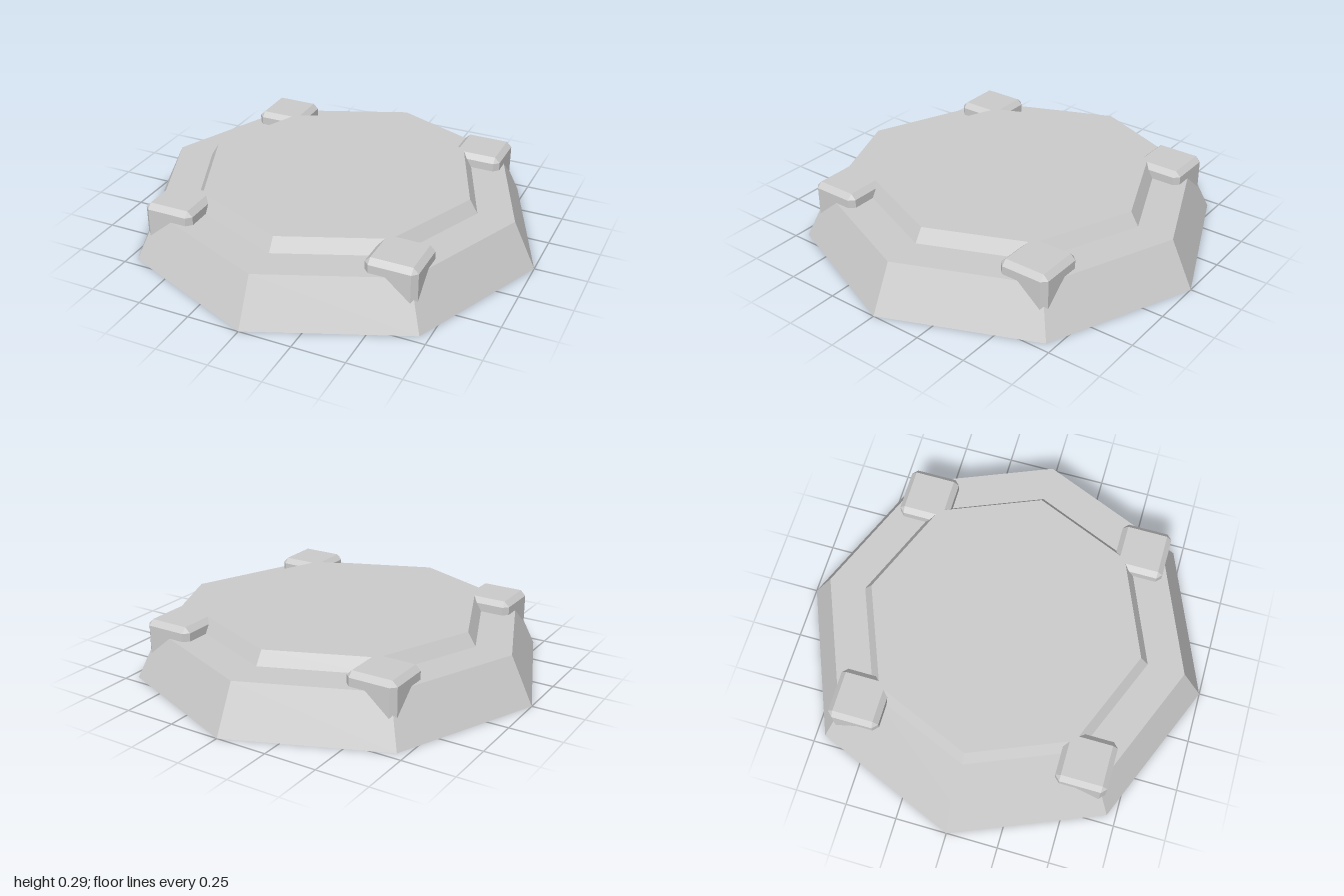
import * as THREE from 'three';
import { ConvexGeometry } from 'three/addons/geometries/ConvexGeometry.js';

// Box with every edge cut by a flat chamfer
function chamferedBox(half, chamfer) {
  const inner = half - chamfer;
  const points = [];
  for (const x of [-1, 1]) for (const y of [-1, 1]) for (const z of [-1, 1]) {
    points.push(
      new THREE.Vector3(x * half, y * inner, z * inner),
      new THREE.Vector3(x * inner, y * half, z * inner),
      new THREE.Vector3(x * inner, y * inner, z * half)
    );
  }
  return new ConvexGeometry(points);
}

export function createModel() {
  const model = new THREE.Group();
  model.name = 'octagonalPlatform';

  const stone = new THREE.MeshStandardMaterial({ color: 0xcccccc, flatShading: true });
  stone.name = 'light grey';

  // Sloped octagonal base with a ledge and a raised deck
  const profile = [
    [0, 0], [1, 0], [0.89, 0.225], [0.71, 0.225], [0.67, 0.29], [0, 0.29]
  ].map(([r, y]) => new THREE.Vector2(r, y));
  const base = new THREE.Mesh(new THREE.LatheGeometry(profile, 8), stone);
  base.name = 'base';
  model.add(base);

  // Four chamfered corner blocks, level with the deck
  const half = 0.123;
  const block = chamferedBox(half, 0.025);
  for (const x of [-1, 1]) for (const z of [-1, 1]) {
    const corner = new THREE.Mesh(block, stone);
    corner.name = (z > 0 ? 'front' : 'back') + (x > 0 ? 'Left' : 'Right') + 'CornerBlock';
    corner.position.set(x * 0.548, 0.29 - half, z * 0.548);
    model.add(corner);
  }
  return model;
}
